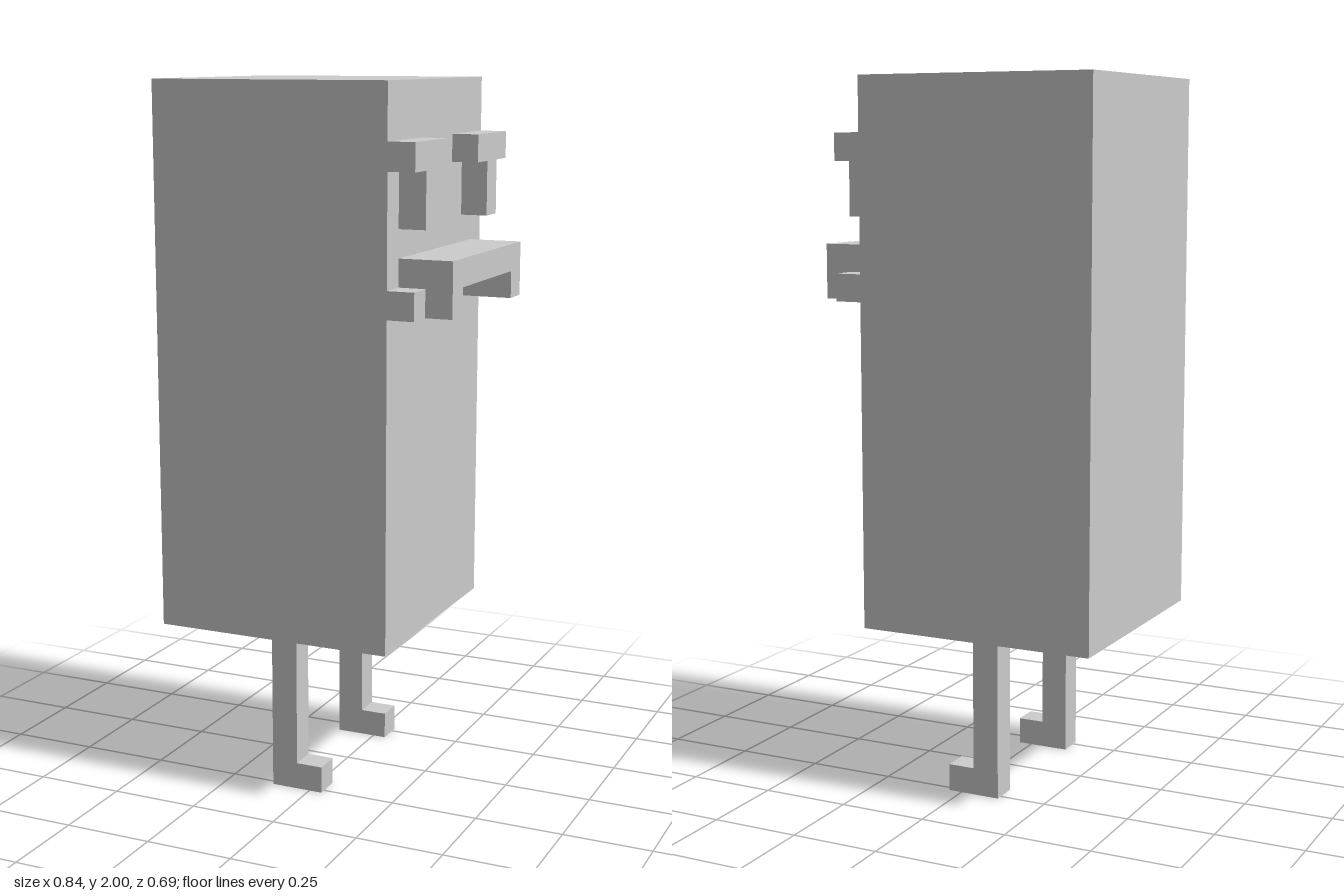
import * as THREE from 'three';

const U = 0.0767; // grid unit shared by all the small parts
const FRONT = 0.267; // x of the face side of the body

const material = new THREE.MeshStandardMaterial({ color: 0xcccccc, flatShading: true });

function addMesh(parent, name, geometry) {
  const mesh = new THREE.Mesh(geometry, material);
  mesh.name = name;
  parent.add(mesh);
  return mesh;
}

// Straight-sided outline pushed out by a depth
function slab(points, depth) {
  const shape = new THREE.Shape(points.map(([a, b]) => new THREE.Vector2(a, b)));
  return new THREE.ExtrudeGeometry(shape, { depth, bevelEnabled: false });
}

// Outline drawn on the face of the body, growing out along +x
function faceSlab(points, depth) {
  return slab(points, depth).rotateY(Math.PI / 2).translate(FRONT, 0, 0);
}

export function createModel() {
  const model = new THREE.Group();
  model.name = 'boxCharacter';

  // Tall block body
  const body = addMesh(model, 'body', new THREE.BoxGeometry(9 * U, 20 * U, 9 * U));
  body.position.set(FRONT - 4.5 * U, 2 - 10 * U, 0);

  // Mouth: bar with two downturned ends
  const top = 1.54, mid = top - U, low = top - 2 * U;
  addMesh(model, 'mouth', faceSlab([
    [-3.5 * U, low], [-2.5 * U, low], [-2.5 * U, mid], [2.5 * U, mid],
    [2.5 * U, low], [3.5 * U, low], [3.5 * U, top], [-3.5 * U, top],
  ], 2 * U));

  for (const side of [1, -1]) {
    const label = side > 0 ? 'right' : 'left';

    // T-shaped eye with its brow
    const eye = addMesh(model, label + 'Eye', faceSlab([
      [-0.5 * U, 1.617], [0.5 * U, 1.617], [0.5 * U, 1.847 - U], [1.5 * U, 1.847 - U],
      [1.5 * U, 1.847], [-1.5 * U, 1.847], [-1.5 * U, 1.847 - U], [-0.5 * U, 1.847 - U],
    ], U));
    eye.position.z = side * 3 * U;

    // Small block at the corner of the mouth
    const corner = addMesh(model, label + 'MouthCorner', new THREE.BoxGeometry(U, U, U));
    corner.position.set(FRONT + U / 2, low + U / 2, side * 4 * U);

    // L-shaped leg with foot
    const back = -1.5 * U, legTop = 2 - 20 * U;
    const leg = addMesh(model, label + 'Leg', slab([
      [back, 0], [back + 2 * U, 0], [back + 2 * U, U],
      [back + U, U], [back + U, legTop], [back, legTop],
    ], U));
    leg.position.z = side * 3 * U - U / 2;
  }
  return model;
}
